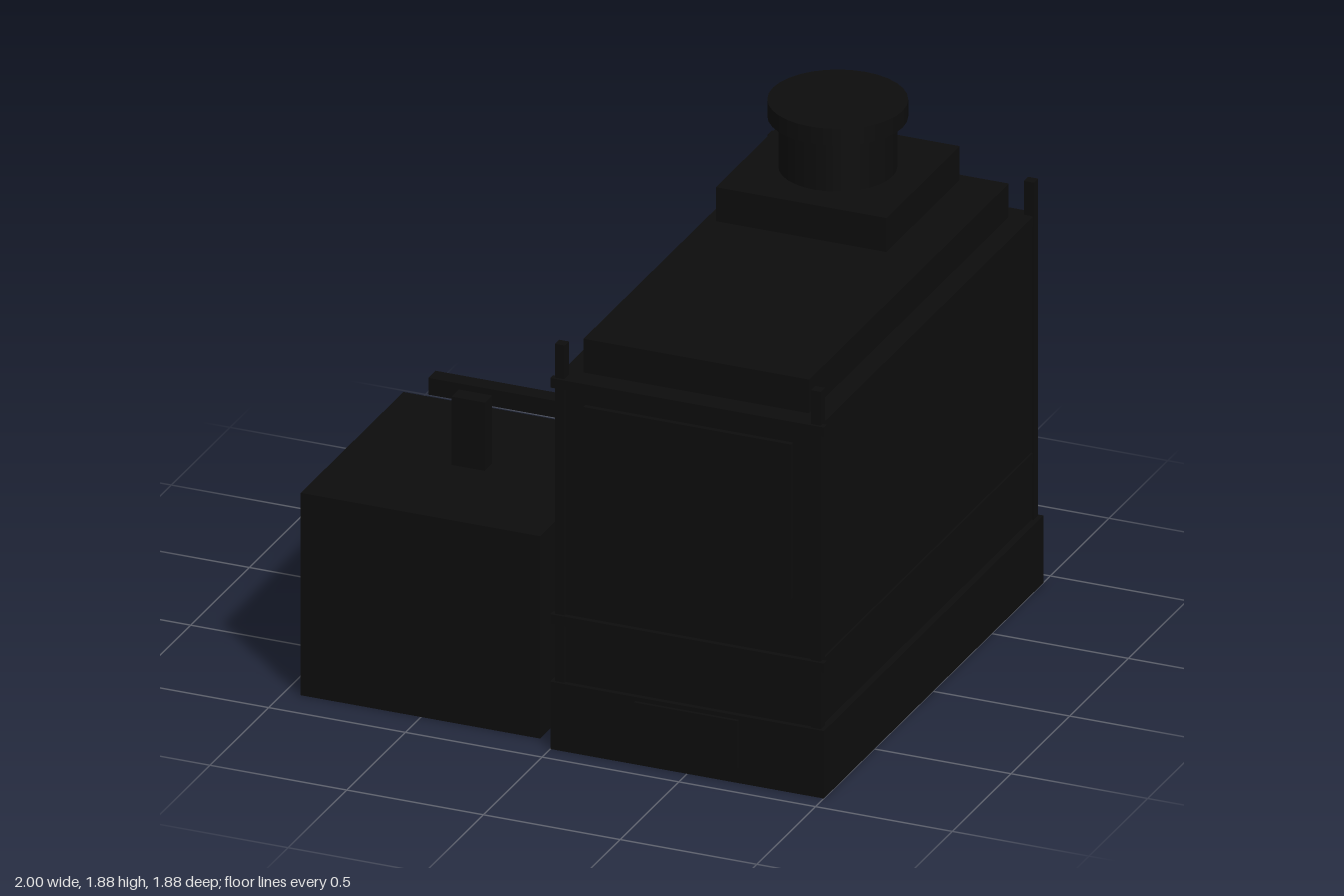
import * as THREE from 'three';

const black = new THREE.MeshStandardMaterial({ color: 0x0d0d0d });
black.name = 'black';

export function createModel() {
  const model = new THREE.Group();
  model.name = 'stoveAndBox';

  const add = (parent, name, geometry, x, y, z) => {
    const mesh = new THREE.Mesh(geometry, black);
    mesh.name = name;
    mesh.position.set(x, y, z);
    parent.add(mesh);
    return mesh;
  };
  // box given by its minimum and maximum on each axis
  const box = (parent, name, x0, x1, y0, y1, z0, z1) =>
    add(parent, name, new THREE.BoxGeometry(x1 - x0, y1 - y0, z1 - z0),
      (x0 + x1) / 2, (y0 + y1) / 2, (z0 + z1) / 2);

  // ---- tall unit ----
  const tall = new THREE.Group();
  tall.name = 'tallUnit';
  model.add(tall);

  // hollow plinth, open underneath
  const t = 0.01;
  box(tall, 'plinthTop', 0, 1, 0.25 - t, 0.25, -0.94, 0.93);
  box(tall, 'plinthFront', 0, 1, 0, 0.25 - t, 0.93 - t, 0.93);
  box(tall, 'plinthBack', 0, 1, 0, 0.25 - t, -0.94, -0.94 + t);
  box(tall, 'plinthRight', 0, t, 0, 0.25 - t, -0.94 + t, 0.93 - t);
  box(tall, 'plinthLeft', 1 - t, 1, 0, 0.25 - t, -0.94 + t, 0.93 - t);
  box(tall, 'plinthHatch', 0.31, 0.69, 0.06, 0.235, 0.91, 0.942);

  // cabinet and raised lid
  box(tall, 'cabinet', 0.02, 0.977, 0.25, 1.375, -0.922, 0.912);
  box(tall, 'lid', 0.085, 0.91, 1.375, 1.5, -0.855, 0.845);
  box(tall, 'doorPanel', 0.12, 0.88, 0.715, 1.29, 0.9, 0.93);

  // corner posts
  for (const x of [0.012, 0.949]) {
    for (const z of [-0.93, 0.884]) {
      box(tall, 'cornerPost', x, x + 0.036, 0.25, 1.5, z, z + 0.036);
    }
  }

  // trim: overhanging rails in front, flush strips on the other sides
  for (const y of [0.465, 1.34]) {
    box(tall, 'frontRail', 0, 1, y, y + 0.035, 0.905, 0.93);
    box(tall, 'sideStrip', 0.014, 0.983, y, y + 0.035, -0.89, 0.88);
    box(tall, 'backStrip', 0.05, 0.947, y, y + 0.035, -0.928, -0.9);
  }

  // chimney
  const cx = 0.436, cz = -0.503;
  box(tall, 'chimneyBase', cx - 0.312, cx + 0.312, 1.5, 1.626, cz - 0.312, cz + 0.312);
  add(tall, 'chimneyPipe', new THREE.CylinderGeometry(0.2, 0.2, 0.19, 32), cx, 1.72, cz);
  add(tall, 'chimneyCap', new THREE.CylinderGeometry(0.237, 0.237, 0.062, 32), cx, 1.845, cz);

  // ---- small box beside it ----
  const small = new THREE.Group();
  small.name = 'smallUnit';
  model.add(small);
  box(small, 'smallBody', -0.94, -0.065, 0, 0.75, -0.008, 0.867);
  box(small, 'topPost', -0.562, -0.44, 0.75, 1.003, 0.4, 0.462);
  box(small, 'sideKnob', -1, -0.94, 0.065, 0.16, 0.018, 0.112);
  box(small, 'backBar', -0.876, -0.127, 0.725, 0.787, -0.133, -0.071);

  return model;
}
